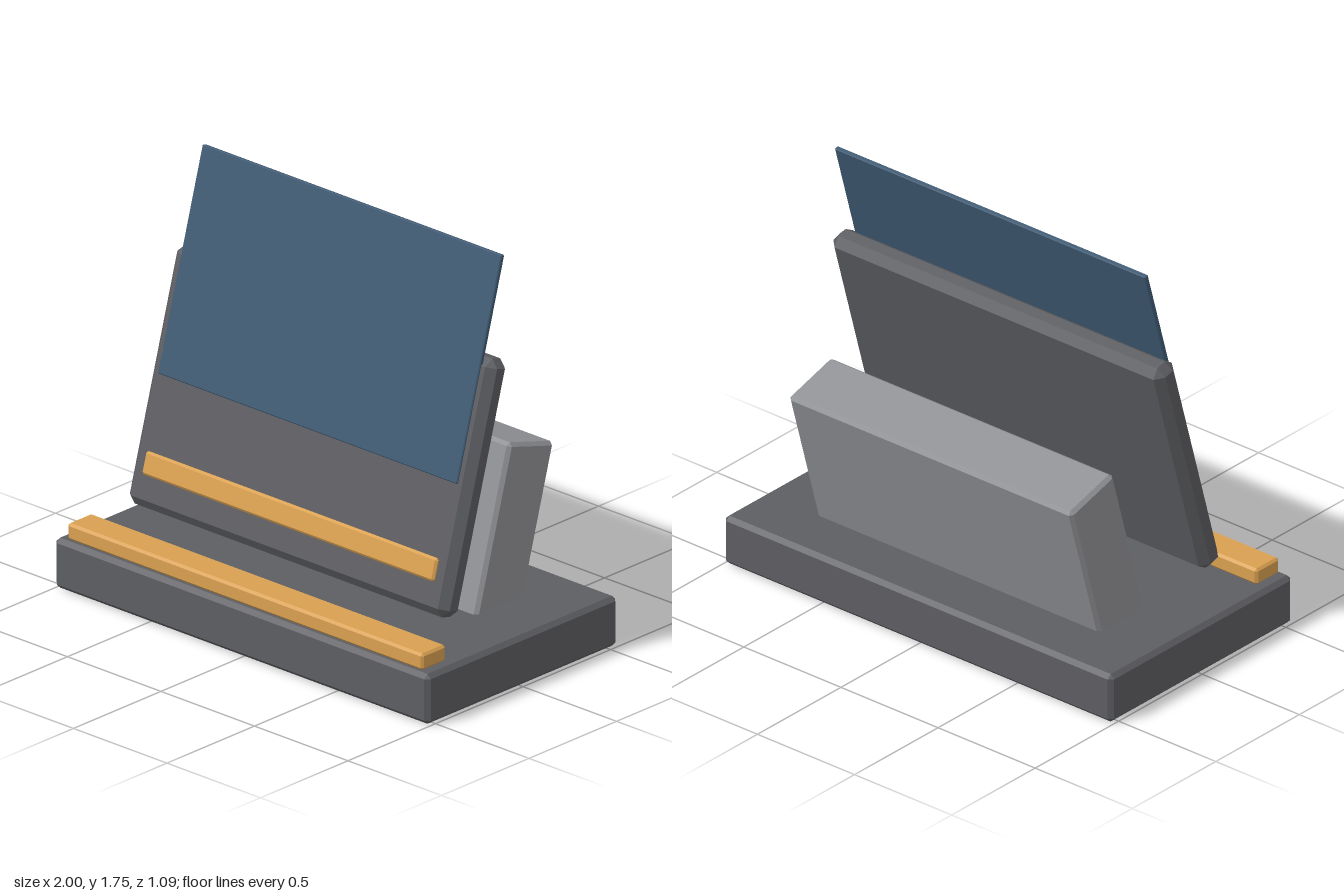
import * as THREE from 'three';
import { ConvexGeometry } from 'three/addons/geometries/ConvexGeometry.js';

const dark = new THREE.MeshStandardMaterial({ color: 0x5d5e62 });
const grey = new THREE.MeshStandardMaterial({ color: 0x919296 });
const amber = new THREE.MeshStandardMaterial({ color: 0xd9a050 });
const blue = new THREE.MeshStandardMaterial({ color: 0x3f5a73 });

// Box with every edge and corner cut by a flat chamfer c
function chamferBox(name, [w, h, d], c, material, [x, y, z]) {
  const points = [];
  for (const sx of [-1, 1]) for (const sy of [-1, 1]) for (const sz of [-1, 1]) {
    const X = w / 2, Y = h / 2, Z = d / 2;
    points.push(
      new THREE.Vector3(sx * X, sy * (Y - c), sz * (Z - c)),
      new THREE.Vector3(sx * (X - c), sy * Y, sz * (Z - c)),
      new THREE.Vector3(sx * (X - c), sy * (Y - c), sz * Z));
  }
  const mesh = new THREE.Mesh(new ConvexGeometry(points), material);
  mesh.name = name;
  mesh.position.set(x, y, z);
  return mesh;
}

export function createModel() {
  const model = new THREE.Group();
  model.name = 'deskStand';
  const tilt = -THREE.MathUtils.degToRad(16);

  // Base slab with the ledge along its front
  model.add(chamferBox('base', [2, 0.212, 1.09], 0.018, dark, [0, 0.109, 0]));
  model.add(chamferBox('frontLedge', [1.9, 0.07, 0.138], 0.01, amber, [0, 0.25, 0.453]));

  // Two round feet under the front corners
  for (const side of [-1, 1]) {
    const foot = new THREE.Mesh(new THREE.CylinderGeometry(0.07, 0.07, 0.03, 24), grey);
    foot.name = side > 0 ? 'leftFoot' : 'rightFoot';
    foot.position.set(side * 0.82, 0.015, 0.4);
    model.add(foot);
  }

  // Leaning rear support, sunk into the base
  const support = chamferBox('rearSupport', [1.46, 0.72, 0.268], 0.015, grey, [0, 0.504, -0.244]);
  support.rotation.x = tilt;
  model.add(support);

  // Leaning back panel carrying the screen and the trim strip
  const panel = new THREE.Group();
  panel.name = 'tiltedPanel';
  panel.position.set(0, 0.826, 0.106);
  panel.rotation.x = tilt;
  panel.add(chamferBox('backPanel', [1.71, 1.05, 0.114], 0.034, dark, [0, 0, 0]));
  panel.add(chamferBox('screen', [1.6, 0.93, 0.02], 0.004, blue, [0, 0.475, 0.055]));
  panel.add(chamferBox('trimStrip', [1.56, 0.095, 0.036], 0.009, amber, [0, -0.345, 0.053]));
  model.add(panel);

  return model;
}
